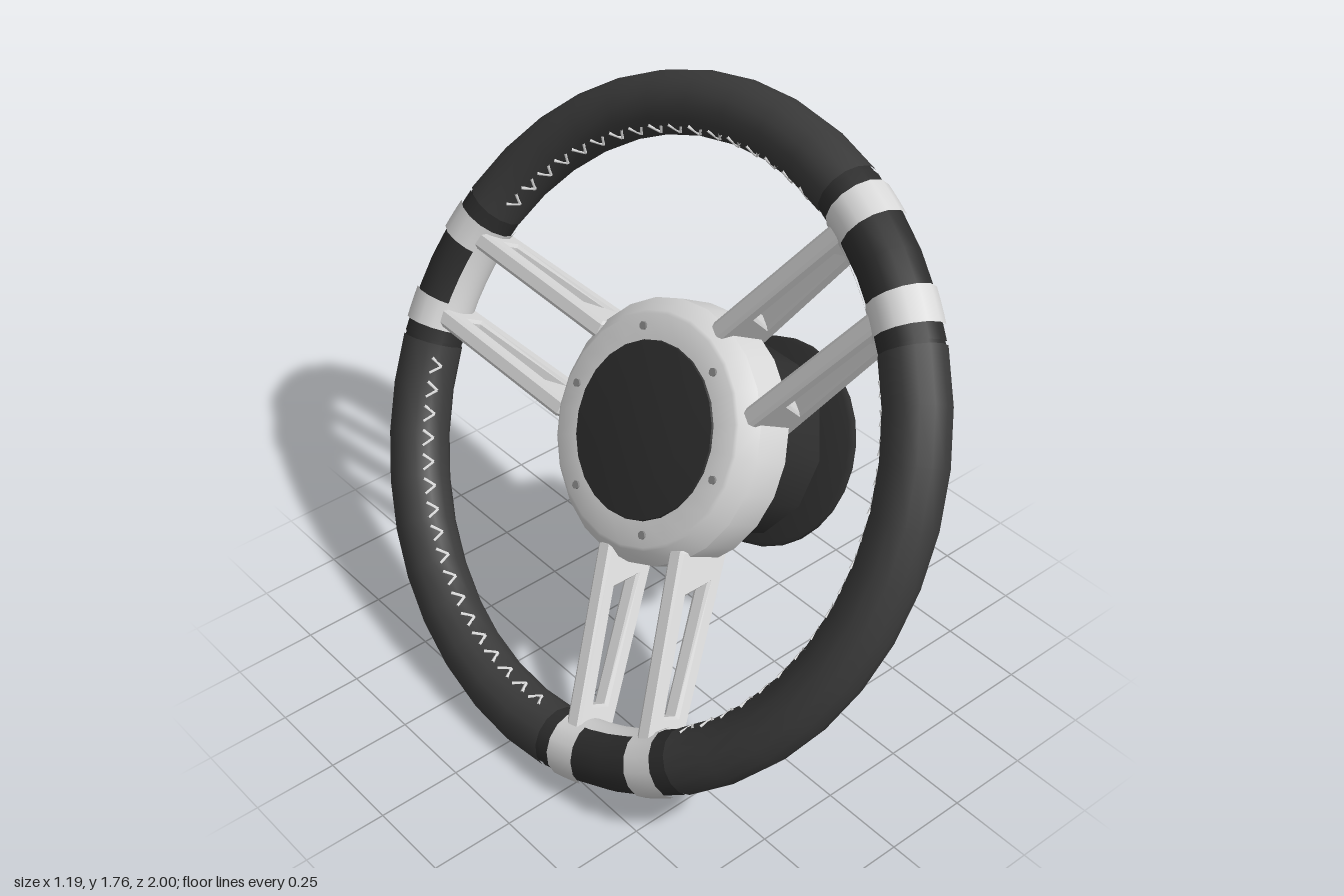
import * as THREE from 'three';
import { toCreasedNormals, mergeGeometries } from 'three/addons/utils/BufferGeometryUtils.js';

const mat = (name, color) => Object.assign(new THREE.MeshStandardMaterial({ color }), { name });
const RIM = 0.91;
const rad = THREE.MathUtils.degToRad;

// Point on the rim surface: a runs around the wheel, p around the tube (0 = outside)
function rimPoint(a, p, r) {
  const R = RIM + r * Math.cos(p);
  return new THREE.Vector3(R * Math.cos(a), r * Math.sin(p), R * Math.sin(a));
}

// Patch of the rim tube between the given angles in degrees
function rimPatch(a0, a1, r, p0 = 0, p1 = 360, steps = 4) {
  const g = new THREE.PlaneGeometry(1, 1, steps, 14);
  const { position, normal, uv } = g.attributes;
  for (let i = 0; i < position.count; i++) {
    const a = rad(a0 + (a1 - a0) * uv.getX(i));
    const p = rad(p1 + (p0 - p1) * uv.getY(i));
    const v = rimPoint(a, p, r);
    position.setXYZ(i, v.x, v.y, v.z);
    normal.setXYZ(i, Math.cos(p) * Math.cos(a), Math.sin(p), Math.cos(p) * Math.sin(a));
  }
  return g;
}

function lathe(points, segments) {
  const g = new THREE.LatheGeometry(points.map(([x, y]) => new THREE.Vector2(x, y)), segments);
  return toCreasedNormals(g, rad(32));
}

function polygon(Type, points) {
  return new Type(points.map(([x, y]) => new THREE.Vector2(x, y)));
}

// Upright frame with a sideways slot, deepening from the rim to the hub
function armGeometry() {
  const shape = polygon(THREE.Shape, [[0.29, -0.21], [0.85, -0.07], [0.85, 0.055], [0.33, -0.025]]);
  shape.holes.push(polygon(THREE.Path, [[0.4, -0.148], [0.44, -0.04], [0.78, 0.012], [0.78, -0.053]]));
  const g = new THREE.ExtrudeGeometry(shape, {
    depth: 0.034, bevelEnabled: true, bevelThickness: 0.01, bevelSize: 0.008, bevelSegments: 1,
  });
  return g.translate(0, 0, -0.017);
}

export function createModel() {
  const grip = mat('charcoal grip', 0x3a3a3a);
  const black = mat('black', 0x2d2d2d);
  const silver = mat('silver', 0xd8d8d8);
  const white = mat('white thread', 0xf2f2f2);
  const steel = mat('grey steel', 0x888888);

  const model = new THREE.Group();
  const wheel = new THREE.Group();
  wheel.name = 'steeringWheel';
  wheel.rotation.z = Math.PI / 3;
  wheel.position.set(-0.05, 0.88, 0);
  model.add(wheel);

  const add = (name, geometry, material, parent = wheel) => {
    const m = new THREE.Mesh(geometry, material);
    m.name = name;
    parent.add(m);
    return m;
  };

  // Rim core, visible in the seams
  add('rimCore', new THREE.TorusGeometry(RIM, 0.086, 14, 48).rotateX(Math.PI / 2), black);

  const arm = armGeometry();
  for (const a of [35, 155, 275]) {
    // Padded grip between this spoke and the next
    add('grip', rimPatch(a + 15, a + 105, 0.09, 0, 360, 10), grip);
    add('gripSleeve', rimPatch(a - 14.4, a + 14.4, 0.088), black);

    // Zigzag stitching on the inner driver side of the grip
    const stitches = [];
    for (let b = a + 19; b < a + 100; b += 5) {
      const pts = [[0, 143], [1.6, 164], [3.2, 143]].map(([d, p]) => rimPoint(rad(b + d), rad(p), 0.091));
      for (let i = 0; i < 2; i++) {
        stitches.push(new THREE.TubeGeometry(new THREE.LineCurve3(pts[i], pts[i + 1]), 2, 0.005, 4));
      }
    }
    add('stitching', mergeGeometries(stitches), white);

    // Silver bands and the inner bridge joining them
    for (const d of [-9, 9]) add('rimBand', rimPatch(a + d - 2.9, a + d + 2.9, 0.094), silver);
    add('rimBridge', rimPatch(a - 9, a + 9, 0.093, 143, 222), silver);

    // Pair of slotted arms
    const spoke = new THREE.Group();
    spoke.name = 'spoke';
    spoke.rotation.y = -rad(a);
    wheel.add(spoke);
    for (const side of [-1, 1]) add('spokeArm', arm, silver, spoke).position.z = 0.132 * side;
  }

  // Hub with bevelled face
  add('hub', lathe([[0, -0.19], [0.35, -0.19], [0.375, -0.17], [0.375, -0.05], [0.335, -0.005],
    [0.325, 0], [0.25, 0], [0, -0.005]], 24), silver);
  add('hornPad', lathe([[0.255, -0.01], [0.25, 0.006], [0.15, 0.016], [0, 0.02]], 24), black);
  for (let i = 0; i < 6; i++) {
    const t = (i + 0.5) * Math.PI / 3;
    add('hubScrew', new THREE.CylinderGeometry(0.012, 0.012, 0.008, 8), steel)
      .position.set(0.29 * Math.cos(t), 0.003, 0.29 * Math.sin(t));
  }

  // Octagonal flange and round adapter behind the hub
  const flange = new THREE.CylinderGeometry(0.355, 0.355, 0.02, 8).rotateY(Math.PI / 8);
  add('adapterFlange', toCreasedNormals(flange, rad(20)), black).position.y = -0.195;
  const body = new THREE.CylinderGeometry(0.285, 0.285, 0.25, 12).rotateY(Math.PI / 12);
  add('adapterBody', toCreasedNormals(body, rad(35)), black).position.y = -0.315;

  // Column stem, round plate and hollow socket
  add('columnPlate', lathe([[0, -0.5], [0.075, -0.5], [0.075, -0.6], [0.105, -0.6], [0.105, -0.575],
    [0.3, -0.572], [0.312, -0.566], [0.312, -0.552], [0.3, -0.546], [0.115, -0.543], [0.115, -0.43]], 28), black);
  add('shaftNut', new THREE.CylinderGeometry(0.05, 0.05, 0.04, 6), black).position.y = -0.515;

  return model;
}
